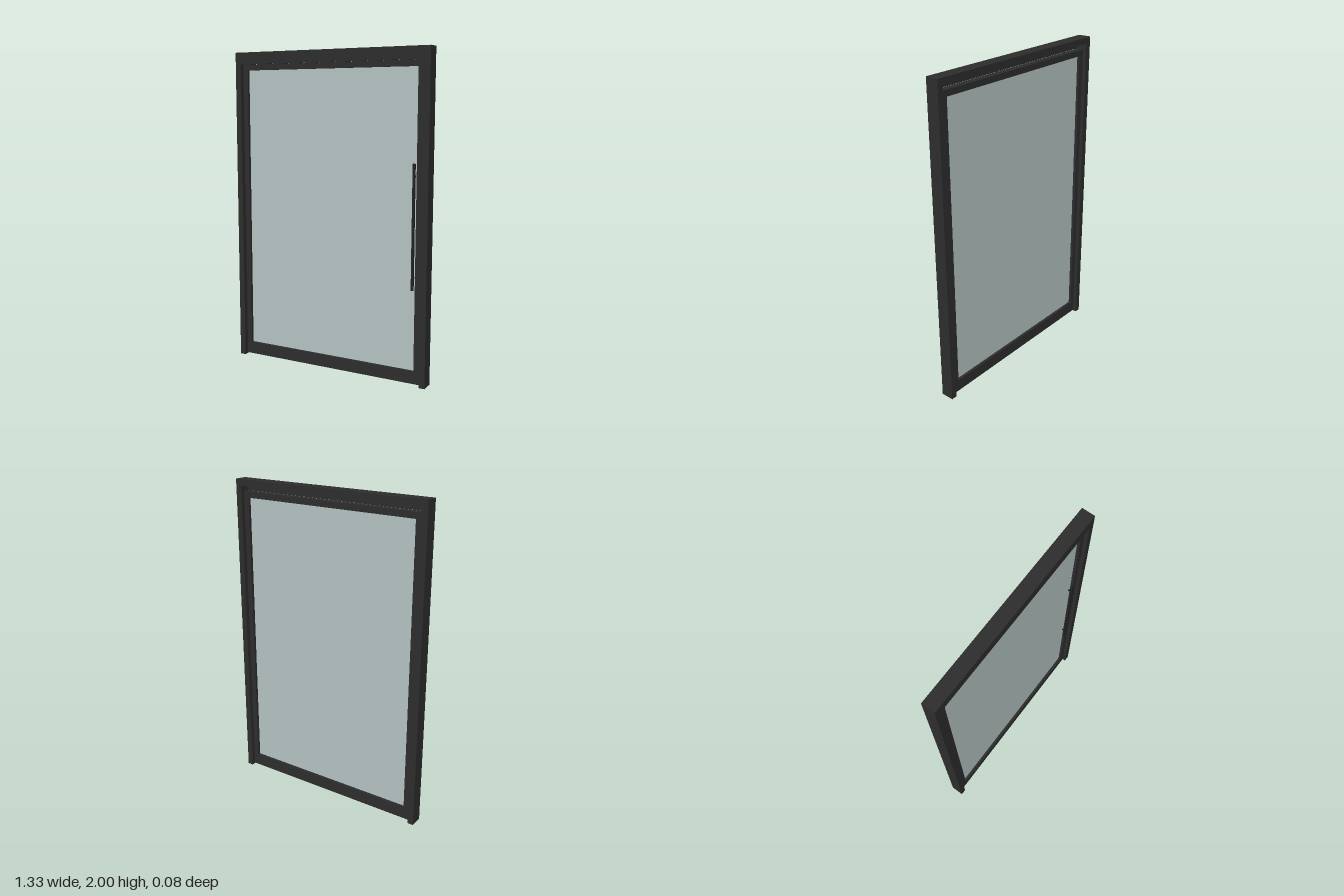
import * as THREE from 'three';

const frameMat = new THREE.MeshStandardMaterial({ color: 0x2d2d2d });
frameMat.name = 'charcoal frame';
const handleMat = new THREE.MeshStandardMaterial({ color: 0x222222 });
handleMat.name = 'dark handle';
const glassMat = new THREE.MeshStandardMaterial({ color: 0xb3c2c1 });
glassMat.name = 'pale glass';

// Box given by its lower and upper limits on each axis
function block(name, mat, [x0, x1], [y0, y1], [z0, z1]) {
  const mesh = new THREE.Mesh(new THREE.BoxGeometry(x1 - x0, y1 - y0, z1 - z0), mat);
  mesh.position.set((x0 + x1) / 2, (y0 + y1) / 2, (z0 + z1) / 2);
  mesh.name = name;
  return mesh;
}

// Upright pair mirrored about x = 0
function pair(name, mat, inner, outer, y, z) {
  return [
    block('left' + name, mat, [inner, outer], y, z),
    block('right' + name, mat, [-outer, -inner], y, z),
  ];
}

export function createModel() {
  const model = new THREE.Group();
  model.name = 'glassDoor';

  // Fixed surround: jambs, header and the stop hanging below the header at the front
  const surround = new THREE.Group();
  surround.name = 'doorFrame';
  const depth = [-0.041, 0.041];
  surround.add(
    ...pair('Jamb', frameMat, 0.627, 0.665, [0, 1.962], depth),
    block('header', frameMat, [-0.665, 0.665], [1.962, 2], depth),
    block('headerStop', frameMat, [-0.627, 0.627], [1.925, 1.962], [0.024, 0.041]),
  );

  // Door leaf: stiles, rails and pane
  const leaf = new THREE.Group();
  leaf.name = 'doorLeaf';
  const leafZ = [-0.022, 0.022];
  leaf.add(
    ...pair('Stile', frameMat, 0.585, 0.62, [0.01, 1.925], leafZ),
    block('topRail', frameMat, [-0.585, 0.585], [1.888, 1.925], leafZ),
    block('bottomRail', frameMat, [-0.585, 0.585], [0.01, 0.088], leafZ),
    block('glassPane', glassMat, [-0.585, 0.585], [0.088, 1.888], [-0.005, 0.005]),
  );

  // Long pull bar on two short posts
  const handle = new THREE.Group();
  handle.name = 'pullHandle';
  handle.add(block('pullBar', handleMat, [0.563, 0.577], [0.585, 1.335], [0.018, 0.032]));
  for (const y of [0.66, 1.26]) {
    handle.add(block('handlePost', handleMat, [0.565, 0.575], [y - 0.005, y + 0.005], [0.005, 0.018]));
  }

  model.add(surround, leaf, handle);
  return model;
}
